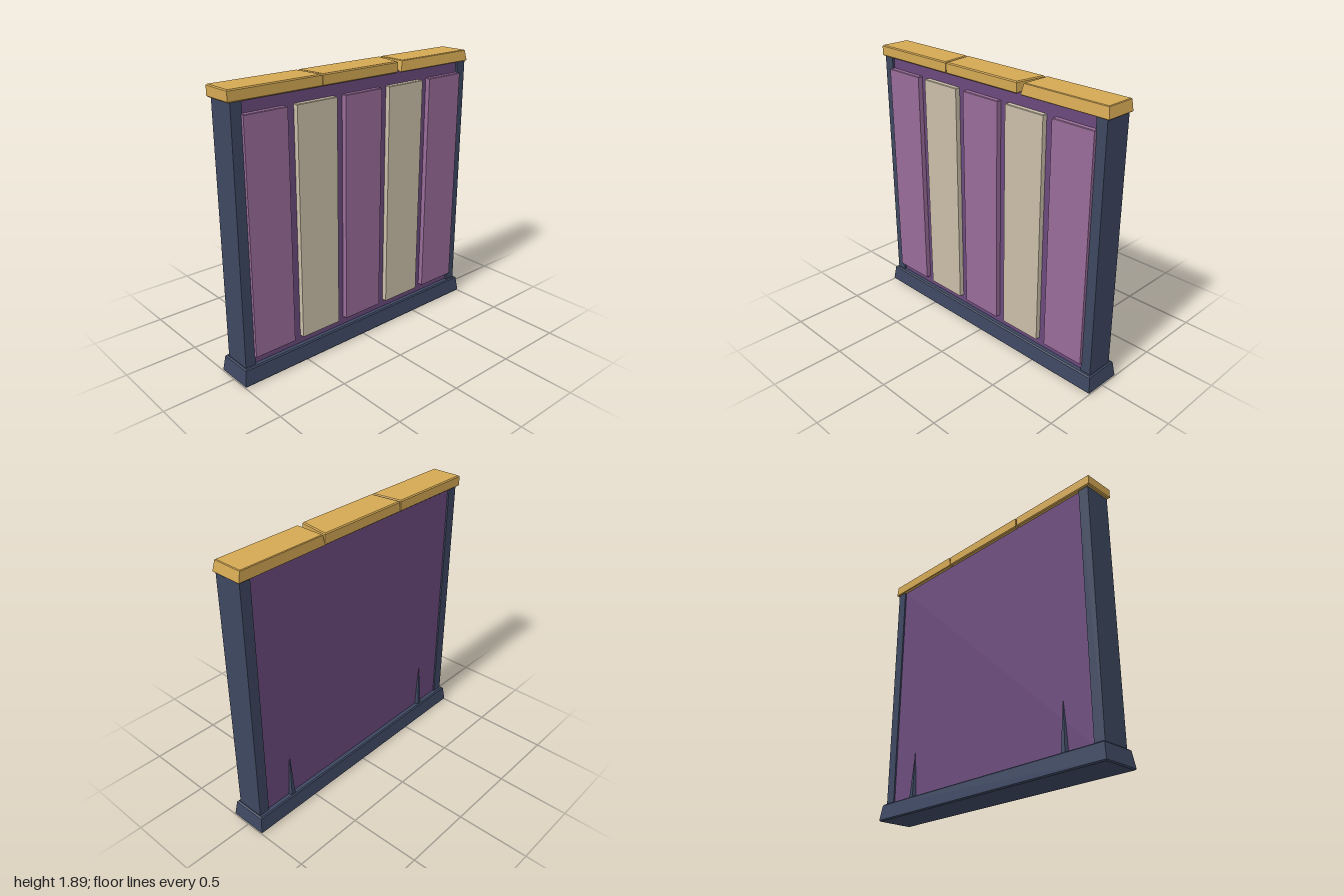
import * as THREE from 'three';

const mat = (name, color) => {
  const m = new THREE.MeshStandardMaterial({ color });
  m.name = name;
  return m;
};

// Bevelled block over a footprint of [x, z] corners; taper(v, t) moves points, t = 0 bottom to 1 top
function block(name, footprint, y0, y1, material, bevel = 0.006, taper = null) {
  const shape = new THREE.Shape(footprint.map(([x, z]) => new THREE.Vector2(x, -z)));
  const geo = new THREE.ExtrudeGeometry(shape, {
    depth: y1 - y0 - 2 * bevel, bevelEnabled: bevel > 0, bevelSize: bevel,
    bevelThickness: bevel, bevelOffset: -bevel, bevelSegments: 1,
  });
  geo.rotateX(-Math.PI / 2).translate(0, y0 + bevel, 0);
  if (taper) {
    const p = geo.attributes.position;
    const v = new THREE.Vector3();
    for (let i = 0; i < p.count; i++) {
      v.fromBufferAttribute(p, i);
      taper(v, (v.y - y0) / (y1 - y0));
      p.setXYZ(i, v.x, v.y, v.z);
    }
  }
  geo.computeVertexNormals();
  const mesh = new THREE.Mesh(geo, material);
  mesh.name = name;
  return mesh;
}

const rect = (x0, x1, z0, z1) => [[x0, z1], [x1, z1], [x1, z0], [x0, z0]];

export function createModel() {
  const navy = mat('navy', 0x3d4760);
  const gold = mat('gold', 0xd4a853);
  const purple = mat('purple', 0x6b4a7c);
  const mauve = mat('mauve', 0x996c99);
  const cream = mat('cream', 0xcabea8);
  const group = new THREE.Group();
  group.name = 'wallPanel';

  // Flared plinth
  group.add(block('base', rect(-1, 1, -0.134, 0.134), 0, 0.12, navy, 0.008, (v, t) => {
    v.x *= 1 - 0.017 * t;
    v.z *= 1 - 0.11 * t;
  }));

  // Recessed wall between two end posts
  group.add(block('wall', rect(-0.9, 0.9, -0.085, 0.085), 0.11, 1.83, purple, 0));
  for (const s of [-1, 1]) {
    const post = block(s > 0 ? 'leftPost' : 'rightPost', rect(-0.0375, 0.0375, -0.096, 0.1), 0.11, 1.83, navy, 0.003);
    post.position.x = s * 0.9325;
    group.add(post);
  }

  // Alternating raised slats on the front
  for (let i = 0; i < 5; i++) {
    const x = (i - 2) * 0.374;
    group.add(block('slat' + (i + 1), rect(x - 0.153, x + 0.153, 0.07, 0.12), 0.175, 1.745, i % 2 ? cream : mauve, 0.004));
  }

  // Three cap stones with slanted joints
  const zf = 0.108, zb = -0.11;
  group.add(block('capRight', [[-0.99, zf], [-0.327, zf], [-0.355, zb], [-0.99, zb]], 1.82, 1.895, gold, 0.007));
  group.add(block('capMiddle', [[-0.32, zf], [0.303, zf], [0.336, zb], [-0.345, zb]], 1.82, 1.895, gold, 0.007));
  group.add(block('capLeft', rect(0.335, 0.985, zb, zf), 1.82, 1.895, gold, 0.004, (v, t) => {
    v.x += (v.x < 0.6 ? 0.018 : -0.014) * t;
    if (v.z > 0) v.z -= 0.012 * t;
  }));

  // Pointed spikes rising from the plinth at the back
  for (const s of [-1, 1]) {
    const geo = new THREE.ConeGeometry(0.027, 0.34, 5).toNonIndexed();
    geo.computeVertexNormals();
    const spike = new THREE.Mesh(geo, navy);
    spike.name = s > 0 ? 'leftSpike' : 'rightSpike';
    spike.position.set(s * 0.683, 0.28, -0.088);
    group.add(spike);
  }
  return group;
}
